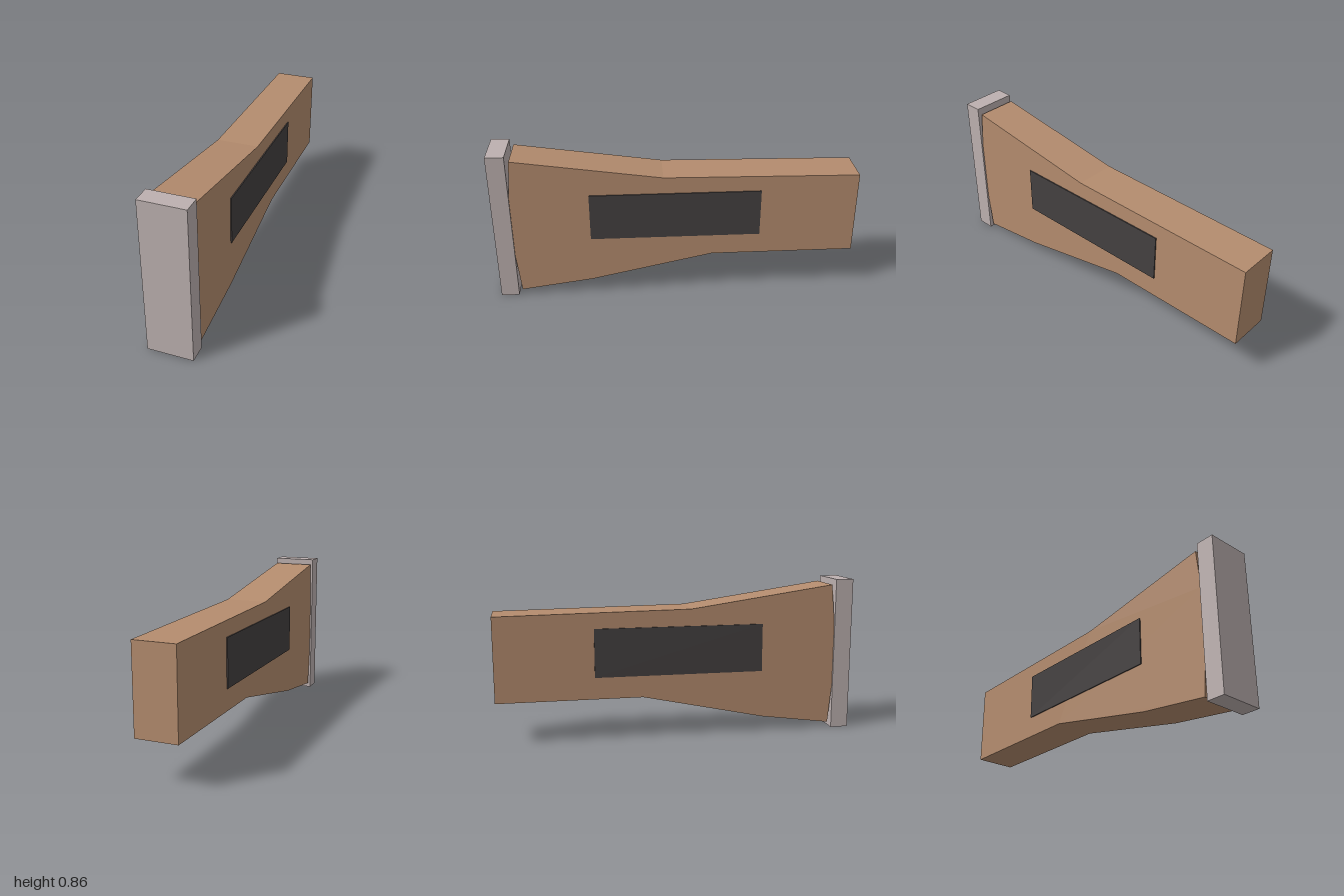
import * as THREE from 'three';

export function createModel() {
  const model = new THREE.Group();
  model.name = 'gunStock';

  const mat = (name, color) => {
    const m = new THREE.MeshStandardMaterial({ color });
    m.name = name;
    return m;
  };
  const wood = mat('wood', 0xb48c6e);
  const rubber = mat('greyPad', 0xbcb0af);
  const dark = mat('darkInlay', 0x444040);

  const add = (name, geometry, material, x = 0, y = 0, z = 0) => {
    const mesh = new THREE.Mesh(geometry, material);
    mesh.name = name;
    mesh.position.set(x, y, z);
    model.add(mesh);
  };

  // Tapered wooden body: side outline as (z, y), extruded across x
  const outline = [
    [-1, 0.23], [-0.2, 0.23], [0.48, 0.085], [0.88, 0.03], [0.9, 0.25],
    [0.9, 0.61], [0.88, 0.83], [0.07, 0.713], [-1, 0.698],
  ];
  const width = 0.23;
  const body = new THREE.ExtrudeGeometry(
    new THREE.Shape(outline.map(([z, y]) => new THREE.Vector2(z, y))),
    { depth: width, bevelEnabled: false },
  );
  body.translate(0, 0, -width / 2);
  body.rotateY(-Math.PI / 2);
  add('body', body, wood);

  // End pad across the wide end
  add('endPad', new THREE.BoxGeometry(0.248, 0.86, 0.1), rubber, 0, 0.43, 0.95);

  // Thin inlay panel on each side
  for (const [name, side] of [['leftPanel', 1], ['rightPanel', -1]]) {
    add(name, new THREE.BoxGeometry(0.008, 0.268, 0.94), dark, side * 0.117, 0.485, 0.005);
  }

  return model;
}
